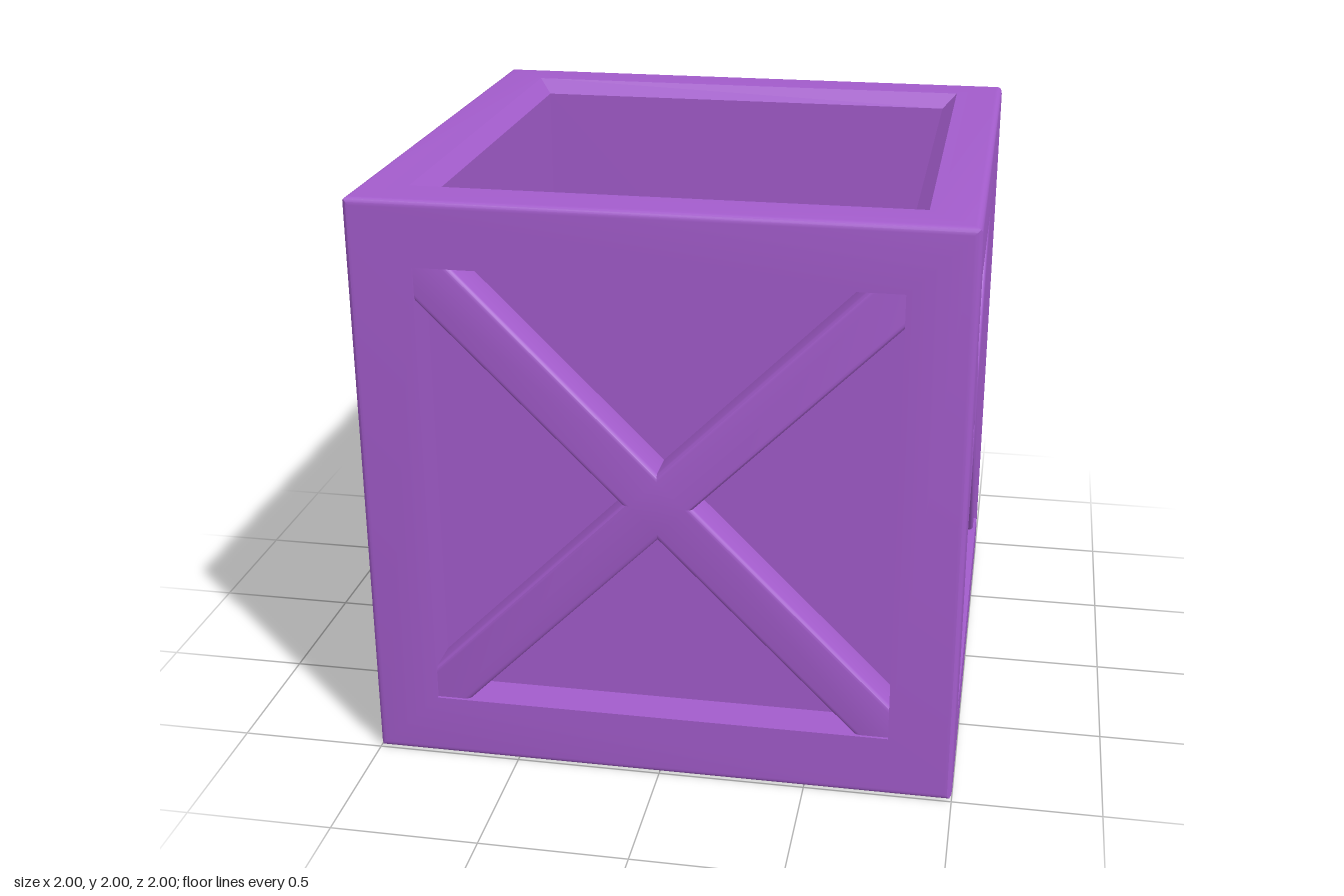
import * as THREE from 'three';
import { mergeGeometries, toCreasedNormals } from 'three/addons/utils/BufferGeometryUtils.js';

const EDGE = 0.025;     // rounding of the outer edges
const OPEN = 0.78;      // half size of the panel openings
const PANEL = 0.86;     // distance of the recessed panels from the centre
const material = new THREE.MeshStandardMaterial({ color: 0xa35ccc });

// One cube face facing +y: a square lathe whose rounded rim meets its neighbours at 45 degrees.
// The inner profile lists [half size, height] from the rim to the centre.
function faceGeometry(inner) {
  const c = 1 - EDGE;
  const rim = [45, 67.5, 90].map((deg) => {
    const a = THREE.MathUtils.degToRad(deg);
    return [c + EDGE * Math.cos(a), c + EDGE * Math.sin(a)];
  });
  const points = [...rim, ...inner].map(([h, y]) => new THREE.Vector2(h * Math.SQRT2, y));
  return new THREE.LatheGeometry(points, 4, Math.PI / 4);
}

// Diagonal cross with softly bevelled edges
function crossGeometry() {
  const w = 0.083, l = 1.2, bevel = 0.018;
  const shape = new THREE.Shape();
  for (let i = 0; i < 4; i++) {
    const a = Math.PI / 4 + i * Math.PI / 2;
    for (const [u, v] of [[w, -w], [l, -w], [l, w]]) {
      const x = u * Math.cos(a) - v * Math.sin(a);
      const y = u * Math.sin(a) + v * Math.cos(a);
      if (i === 0 && u === w) shape.moveTo(x, y);
      else shape.lineTo(x, y);
    }
  }
  shape.closePath();
  const geometry = new THREE.ExtrudeGeometry(shape, {
    depth: 0.12, bevelThickness: bevel, bevelSize: bevel, bevelOffset: -bevel, bevelSegments: 3,
  });
  geometry.translate(0, 0, 0.99 - 0.12 - bevel);
  return toCreasedNormals(geometry, 0.6);
}

export function createModel() {
  const crate = new THREE.Group();
  crate.name = 'crate';

  // Frame, recessed panels, chamfered top opening and hollow inside
  const recess = [[OPEN, 1], [OPEN, PANEL], [0, PANEL]];
  const hollow = [[0.83, 1], [OPEN, 0.95], [OPEN, -OPEN], [0, -OPEN]];
  const faces = [faceGeometry(hollow), faceGeometry(recess).rotateX(Math.PI)];
  for (let i = 0; i < 4; i++) {
    faces.push(faceGeometry(recess).rotateX(Math.PI / 2).rotateY(i * Math.PI / 2));
  }
  const body = new THREE.Mesh(toCreasedNormals(mergeGeometries(faces), 0.6), material);
  body.name = 'crateBody';
  body.position.y = 1;
  crate.add(body);

  // Cross braces on the four sides
  const cross = crossGeometry();
  ['frontBrace', 'leftBrace', 'backBrace', 'rightBrace'].forEach((name, i) => {
    const brace = new THREE.Mesh(cross, material);
    brace.name = name;
    brace.position.y = 1;
    brace.rotation.y = i * Math.PI / 2;
    crate.add(brace);
  });
  return crate;
}
